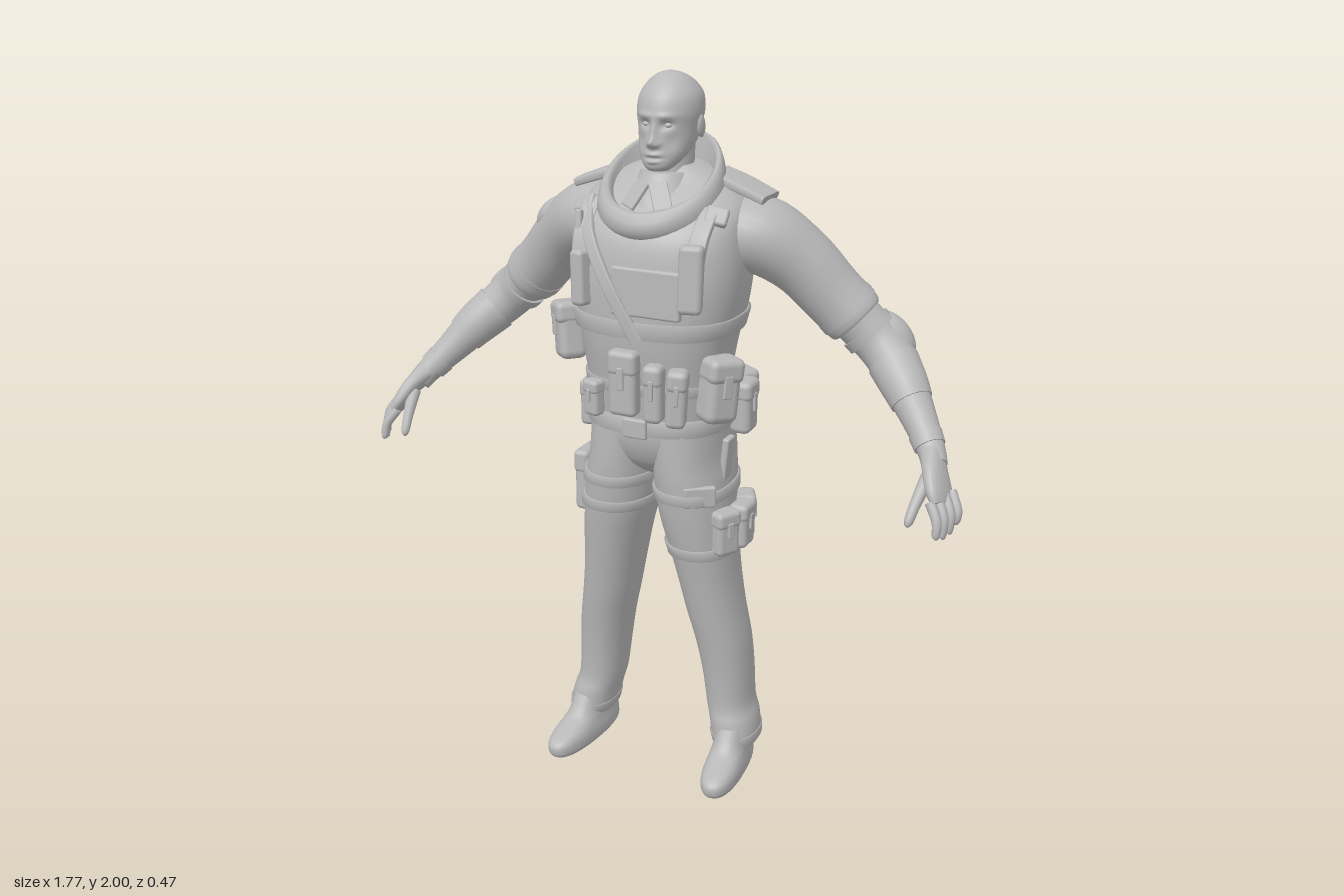
import * as THREE from 'three';
import { RoundedBoxGeometry } from 'three/addons/geometries/RoundedBoxGeometry.js';

const grey = new THREE.MeshStandardMaterial({ color: 0xb8b8b8 });
grey.name = 'plain grey';
const V = (x, y, z) => new THREE.Vector3(x, y, z);

// Smooth interpolation through table rows; t runs from 0 to rows.length - 1
function rowAt(rows, t) {
  const i = Math.min(Math.floor(t), rows.length - 2), f = t - i;
  const r = k => rows[Math.max(0, Math.min(rows.length - 1, k))];
  return rows[i].map((b, k) => {
    const a = r(i - 1)[k], c = r(i + 1)[k], d = r(i + 2)[k];
    return b + 0.5 * f * (c - a + f * (2 * a - 5 * b + 4 * c - d + f * (3 * (b - c) + d - a)));
  });
}
const power = (v, n) => Math.sign(v) * Math.pow(Math.abs(v), 2 / n);

// Surface through closed rings of points, with flat end caps
function surface(rings, caps = true) {
  const n = rings[0].length, pos = [], idx = [];
  rings.forEach(r => r.forEach(p => pos.push(p.x, p.y, p.z)));
  for (let i = 0; i < rings.length - 1; i++) for (let j = 0; j < n; j++) {
    const a = i * n + j, b = i * n + (j + 1) % n;
    idx.push(a, b, b + n, a, b + n, a + n);
  }
  if (caps) [rings[0], rings[rings.length - 1]].forEach((r, e) => {
    const s = pos.length / 3, c = r.reduce((m, p) => m.add(p), V(0, 0, 0)).divideScalar(n);
    [...r, c].forEach(p => pos.push(p.x, p.y, p.z));
    for (let j = 0; j < n; j++) e ? idx.push(s + j, s + (j + 1) % n, s + n) : idx.push(s + (j + 1) % n, s + j, s + n);
  });
  const g = new THREE.BufferGeometry();
  g.setAttribute('position', new THREE.Float32BufferAttribute(pos, 3));
  g.setIndex(idx);
  g.computeVertexNormals();
  return g;
}

// Level ring from a row [y, centre x, half width, front z, back z]
const ring = ([y, cx, rx, zf, zb], n, seg, grow = 0) => Array.from({ length: seg }, (_, j) => {
  const a = j / seg * Math.PI * 2;
  return V(cx + (rx + grow) * power(Math.sin(a), n), y, (zf + zb) / 2 + ((zf - zb) / 2 + grow) * power(Math.cos(a), n));
});
function loft(rows, { n = 2, seg = 36, sub = 5 } = {}) {
  const m = (rows.length - 1) * sub;
  return surface(Array.from({ length: m + 1 }, (_, i) => ring(rowAt(rows, i / sub), n, seg)));
}

// Tube along rows [x, y, z, half width, half thickness]; the thin side faces thin
function limb(rows, { thin = V(0, 0, 1), n = 2, seg = 20, sub = 5 } = {}) {
  const m = (rows.length - 1) * sub, R = Array.from({ length: m + 1 }, (_, i) => rowAt(rows, i / sub));
  return surface(R.map((r, i) => {
    const p = R[Math.max(0, i - 1)], q = R[Math.min(m, i + 1)];
    const t = V(q[0] - p[0], q[1] - p[1], q[2] - p[2]).normalize();
    const v = thin.clone().addScaledVector(t, -thin.dot(t)).normalize(), u = t.clone().cross(v);
    return Array.from({ length: seg }, (_, j) => {
      const a = j / seg * Math.PI * 2;
      return V(r[0], r[1], r[2]).addScaledVector(u, r[3] * power(Math.sin(a), n)).addScaledVector(v, (r[4] ?? r[3]) * power(Math.cos(a), n));
    });
  }));
}

const TORSO = [[1.08, 0, .188, .165, -.15], [1.2, 0, .198, .18, -.14], [1.3, 0, .213, .195, -.155], [1.4, 0, .235, .2, -.18],
  [1.5, 0, .245, .195, -.19], [1.6, 0, .24, .17, -.195], [1.67, 0, .225, .1, -.19], [1.725, 0, .16, .03, -.165], [1.76, 0, .08, 0, -.12]];
const LEG = [[.075, .235, .062, .075, -.104], [.1, .233, .066, .08, -.107], [.15, .224, .067, .075, -.113], [.2, .21, .066, .065, -.115],
  [.3, .2, .07, .07, -.118], [.4, .187, .075, .083, -.115], [.5, .167, .079, .1, -.11], [.6, .15, .083, .117, -.11],
  [.7, .135, .091, .135, -.11], [.8, .118, .1, .152, -.118], [.9, .106, .103, .163, -.15], [.97, .097, .1, .165, -.174], [1.06, .09, .1, .163, -.165]];
const PELVIS = [[.9, 0, .03, .06, -.08], [.94, 0, .1, .12, -.13], [.98, 0, .16, .15, -.155], [1.04, 0, .188, .167, -.168], [1.12, 0, .185, .165, -.15]];
function atY(rows, y) {
  let i = 0;
  while (i < rows.length - 2 && rows[i + 1][0] < y) i++;
  const r = rowAt(rows, i + (y - rows[i][0]) / (rows[i + 1][0] - rows[i][0]));
  r[0] = y;
  return r;
}
function torsoZ(x, y, side) {
  const [, , rx, zf, zb] = atY(TORSO, y);
  return (zf + zb) / 2 + side * (zf - zb) / 2 * Math.pow(Math.max(0, 1 - Math.abs(x / rx) ** 2.5), 1 / 2.5);
}

export function createModel() {
  const root = new THREE.Group();
  root.name = 'figure';
  const add = (name, geo, p, rot, parent = root) => {
    const m = new THREE.Mesh(geo, grey);
    m.name = name;
    if (p) m.position.set(...p);
    if (rot) m.rotation.set(...rot);
    parent.add(m);
    return m;
  };
  const box = (name, p, [w, h, d], rot, parent) => add(name, new RoundedBoxGeometry(w, h, d, 2, Math.min(w, h, d) * .3), p, rot, parent);
  const ball = (name, p, r, rot) => add(name, new THREE.SphereGeometry(1, 24, 16), p, rot).scale.set(...r);
  const band = (name, rows, y0, y1, grow, n = 2.5, flip = 1) => add(name, surface([[y0, 0], [y0, grow], [y1, grow], [y1, 0]].map(([y, g]) => {
    const r = atY(rows, y);
    r[1] *= flip;
    return ring(r, n, 40, g);
  }), false));
  const pouch = (name, p, [w, h, d], ry = 0, rz = 0) => {
    const g = new THREE.Group();
    g.name = name;
    g.position.set(...p);
    g.rotation.set(0, ry, rz);
    root.add(g);
    box('pouchBody', [0, 0, 0], [w, h, d], null, g);
    box('pouchFlap', [0, h * .32, d * .04], [w * 1.06, h * .38, d * 1.06], null, g);
    box('pouchTab', [0, h * .1, d * .54], [w * .25, h * .35, .01], null, g);
  };
  const strap = (name, [x0, y0], [x1, y1], w, side) => {
    const rows = Array.from({ length: 9 }, (_, i) => {
      const x = x0 + (x1 - x0) * i / 8, y = y0 + (y1 - y0) * i / 8;
      return [x, y, torsoZ(x, y, side) + side * .006, w / 2, .009];
    });
    add(name, limb(rows, { thin: V(0, 0, side), n: 6, seg: 16, sub: 2 }));
  };

  // Head, with the face raised and sunk by soft bumps [x, y, width, height, depth]
  const head = loft([[1.752, 0, .028, .058, 0], [1.765, 0, .044, .067, -.03], [1.79, 0, .063, .066, -.08], [1.82, 0, .074, .062, -.122],
    [1.86, 0, .081, .056, -.142], [1.9, 0, .087, .056, -.153], [1.94, 0, .082, .043, -.148], [1.972, 0, .061, .015, -.118],
    [1.992, 0, .034, -.013, -.08], [2, 0, .006, -.04, -.052]], { n: 2, seg: 96, sub: 9 });
  const bumps = [[0, 1.828, .012, .014, .022], [0, 1.855, .009, .025, .012], [.03, 1.872, .016, .01, -.012], [.03, 1.895, .025, .008, .005],
    [0, 1.797, .02, .006, .008], [0, 1.787, .022, .003, -.005], [0, 1.778, .016, .005, .007], [.014, 1.823, .006, .007, .008], [.045, 1.83, .015, .02, -.006]];
  const hp = head.attributes.position;
  for (let i = 0; i < hp.count; i++) {
    const x = Math.abs(hp.getX(i)), y = hp.getY(i);
    if (hp.getZ(i) > 0) hp.setZ(i, bumps.reduce((z, [bx, by, w, h, d]) => z + d * Math.exp(-(((x - bx) / w) ** 2) - ((y - by) / h) ** 2), hp.getZ(i)));
  }
  head.computeVertexNormals();
  add('head', head);
  add('neck', loft([[1.62, 0, .08, .06, -.13], [1.72, 0, .064, .03, -.115], [1.82, 0, .064, .02, -.12]]));
  add('shirtCollar', loft([[1.6, 0, .12, .14, -.13], [1.67, 0, .1, .105, -.13], [1.71, 0, .085, .075, -.125], [1.745, 0, .072, .05, -.122]]));

  // Wide padded collar: [half width, front z, back z, front y, back y]
  add('paddedCollar', surface([[.145, .13, -.165, 1.575, 1.68], [.17, .172, -.172, 1.595, 1.735], [.172, .187, -.168, 1.615, 1.77], [.166, .184, -.162, 1.64, 1.81],
    [.157, .17, -.155, 1.66, 1.832], [.147, .155, -.147, 1.665, 1.838], [.136, .14, -.138, 1.655, 1.83], [.12, .105, -.125, 1.6, 1.72]]
    .map(([rx, zf, zb, yf, yb]) => Array.from({ length: 48 }, (_, j) => {
      const a = j / 48 * Math.PI * 2, c = Math.cos(a);
      return V(rx * Math.sin(a), (yf + yb) / 2 + (yf - yb) / 2 * c, (zf + zb) / 2 + (zf - zb) / 2 * c);
    })), false));

  // Vest, trousers and belts
  add('vest', loft(TORSO, { n: 2.5, seg: 56 }));
  add('trouserSeat', loft(PELVIS, { n: 2.3, seg: 48 }));
  band('waistBelt', PELVIS, 1.055, 1.1, .012);
  band('vestHem', TORSO, 1.17, 1.2, .006);
  band('chestBelt', TORSO, 1.335, 1.38, .01);
  box('beltBuckle', [0, 1.075, .178], [.07, .055, .02]);
  box('frontPanel', [.04, 1.46, .19], [.2, .13, .025], [-.05, 0, 0]);
  strap('frontSling', [-.17, 1.64], [.02, 1.33], .035, 1);
  strap('backSling', [.2, 1.6], [-.19, 1.38], .03, -1);
  for (const x of [-.07, .07]) {
    strap('backStrap', [x, 1.7], [x, 1.62], .03, -1);
    box('backBuckle', [x, 1.645, -.196], [.045, .035, .02]);
  }
  strap('backYoke', [-.13, 1.67], [.13, 1.67], .03, -1);
  box('backSheath', [-.03, 1.23, -.152], [.025, .16, .025], [0, 0, .08]);

  for (const s of [1, -1]) {
    const out = rows => rows.map(([x, ...r]) => [s * x, ...r]);
    // Shoulder straps and vest trim
    add('shoulderPlate', limb(out([[.13, 1.735, -.075, .05, .014], [.2, 1.712, -.07, .055, .014], [.28, 1.683, -.065, .05, .012]]), { thin: V(0, 1, 0), n: 5, seg: 24 }));
    box('shoulderBuckle', [s * .19, 1.655, .08], [.06, .05, .025], [-.7, s * .3, 0]);
    strap('frontShoulderStrap', [s * .17, 1.67], [s * .16, 1.42], .05, 1);
    // Sleeve, forearm and elbow guard
    add('sleeve', limb(out([[.15, 1.57, -.065, .1, .13], [.25, 1.58, -.075, .105, .115], [.35, 1.515, -.11, .093, .097],
      [.43, 1.43, -.135, .087, .087], [.495, 1.365, -.15, .084, .084], [.505, 1.355, -.152, .07, .07]]), { seg: 28 }));
    add('sleeveCuff', limb(out([[.465, 1.395, -.144, .088], [.485, 1.375, -.148, .088]]), { seg: 28 }));
    add('forearm', limb(out([[.47, 1.39, -.145, .07], [.55, 1.315, -.16, .068], [.605, 1.265, -.145, .066], [.66, 1.21, -.1, .059], [.72, 1.14, -.05, .047], [.77, 1.08, 0, .037], [.79, 1.05, .03, .034]]), { seg: 24 }));
    add('forearmGuard', limb(out([[.615, 1.255, -.138, .07], [.66, 1.21, -.1, .064], [.69, 1.175, -.075, .057]]), { seg: 24 }));
    add('gloveCuff', limb(out([[.745, 1.11, -.025, .045], [.765, 1.085, -.005, .042]]), { seg: 24 }));
    ball('elbowPad', [s * .585, 1.305, -.18], [.065, .088, .06], [0, 0, s * .75]);
    add('elbowStrap', limb(out([[.525, 1.337, -.157, .075], [.545, 1.317, -.16, .075]]), { seg: 24 }));
    // Hand with fingers
    const thin = V(s * .8, .5, .1);
    add('palm', limb(out([[.775, 1.075, .01, .033, .03], [.8, 1.04, .055, .044, .025], [.82, 1.0, .083, .05, .022], [.833, .975, .097, .044, .015]]), { thin, n: 2.4 }));
    for (let i = 0; i < 4; i++) {
      const f = i / 3, k = i === 1 || i === 2 ? .012 : 0;
      add('finger', limb(out([[.81 + .035 * f, .985 + .012 * f, .125 - .07 * f, .014], [.835 + .035 * f, .945 + .012 * f, .145 - .065 * f, .013],
        [.838 + .032 * f, .908 + .02 * f - k, .155 - .07 * f, .01], [.837 + .032 * f, .9 + .02 * f - k, .157 - .07 * f, .003]]), { seg: 10, sub: 4 }));
    }
    add('thumb', limb(out([[.785, 1.03, .07, .02], [.772, .975, .125, .015], [.765, .935, .155, .012], [.765, .922, .16, .003]]), { seg: 10, sub: 4 }));
    // Legs, shoes and ears
    add('trouserLeg', loft(LEG.map(([y, cx, ...r]) => [y, s * cx, ...r]), { n: 2.2 }));
    band('trouserHem', LEG, .085, .11, .004, 2.2, s);
    add('shoe', loft([[0, 0, .05, .162, -.155], [.012, 0, .056, .17, -.161], [.035, 0, .056, .17, -.16], [.052, 0, .053, .15, -.158], [.068, 0, .05, .105, -.156], [.09, 0, .048, .055, -.153], [.14, 0, .045, .02, -.145]], { n: 2.4 }), [s * .237, 0, .057], [0, s * .1, 0]);
    ball('ear', [s * .083, 1.86, -.055], [.01, .032, .019], [.2, 0, 0]);
    ball('eye', [s * .03, 1.871, .034], [.012, .008, .01]);
    box('shirtLapel', [s * .036, 1.695, .094], [.05, .08, .012], [-.65, s * .35, s * .45]);
    // Thigh straps
    const [hi, lo] = s > 0 ? [.86, .69] : [.88, .8];
    band('upperThighStrap', LEG, hi, hi + .03, .008, 2.2, s);
    band('lowerThighStrap', LEG, lo, lo + .03, .008, 2.2, s);
  }

  // Chest gear
  box('chestRadio', [.165, 1.51, .185], [.065, .18, .05], [-.08, .3, 0]);
  box('shoulderRadio', [-.155, 1.48, .185], [.045, .15, .045], [-.05, -.3, .05]);
  box('radioAerial', [-.18, 1.6, .14], [.02, .1, .02], [-.2, 0, .1]);
  pouch('sidePouch', [-.225, 1.31, .12], [.08, .16, .08], -.8, .12);
  // Waist pouches
  pouch('frontPouch', [-.02, 1.21, .2], [.08, .18, .05]);
  pouch('magazinePouch', [.065, 1.19, .195], [.052, .16, .055], .1);
  pouch('magazinePouch', [.125, 1.18, .18], [.055, .16, .06], .3, -.05);
  pouch('hipPouch', [.212, 1.195, .105], [.1, .18, .085], .95, -.1);
  pouch('hipPouch', [.22, 1.1, -.055], [.08, .15, .06], 1.6);
  pouch('rearHipPouch', [.155, 1.095, -.165], [.11, .15, .07], 2.55);
  pouch('rearPouch', [-.09, 1.1, -.175], [.13, .15, .08], 3.3);
  pouch('smallRearPouch', [.04, 1.1, -.168], [.07, .1, .05], 3.1);
  pouch('smallSidePouch', [-.195, 1.09, .06], [.07, .13, .045], -1.4);
  pouch('rightRearPouch', [-.2, 1.09, -.09], [.09, .12, .05], -1.9);
  pouch('slimPouch', [-.12, 1.15, .185], [.05, .1, .04], -.3);
  // Thigh gear
  for (const [z, x, r] of [[.075, .222, 1.05], [0, .242, 1.55], [-.07, .222, 2.05]]) pouch('leftThighPouch', [x, .77, z], [.075, .13, .055], r);
  box('thighHanger', [.2, .94, .02], [.02, .18, .05], [0, 0, -.1]);
  box('thighFlap', [.17, .885, .13], [.09, .06, .02], [0, .6, 0]);
  pouch('rightThighHolster', [-.227, .84, .02], [.1, .18, .045], -1.57);
  box('holsterHanger', [-.2, .98, .02], [.02, .14, .04]);
  // Sleeve patch on the right arm
  ball('sleevePatch', [-.385, 1.575, -.09], [.035, .06, .05], [0, 0, -.75]);
  return root;
}
